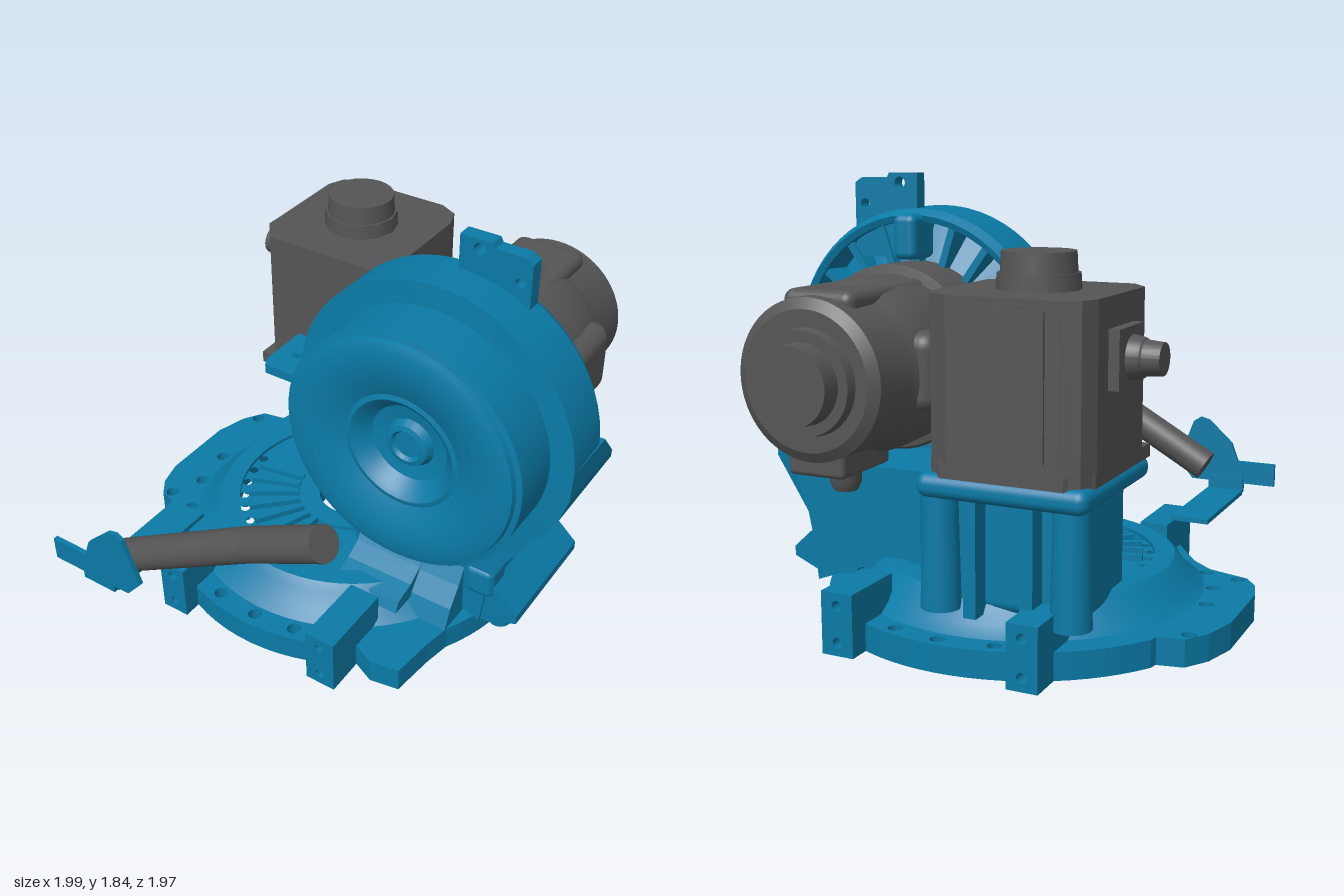
import * as THREE from 'three';
import { toCreasedNormals } from 'three/addons/utils/BufferGeometryUtils.js';
import { RoundedBoxGeometry } from 'three/addons/geometries/RoundedBoxGeometry.js';

const blue = new THREE.MeshStandardMaterial({ color: 0x0a7aa6 });
const grey = new THREE.MeshStandardMaterial({ color: 0x555555 });
const CX = -0.12, CZ = -0.1; // base centre
const GX = 0.4, GY = 1.115; // gear axis

export function createModel() {
  const model = new THREE.Group();

  const add = (name, geo, mat, x = 0, y = 0, z = 0) => {
    const mesh = new THREE.Mesh(geo, mat);
    mesh.name = name;
    mesh.position.set(x, y, z);
    model.add(mesh);
    return mesh;
  };
  // box from its extents on each axis
  const box = (name, mat, [x0, x1], [y0, y1], [z0, z1], r = 0) => {
    const s = [x1 - x0, y1 - y0, z1 - z0];
    const geo = r ? new RoundedBoxGeometry(...s, 4, r) : new THREE.BoxGeometry(...s);
    return add(name, geo, mat, (x0 + x1) / 2, (y0 + y1) / 2, (z0 + z1) / 2);
  };
  // surface of revolution, creased, about x, y or z
  const turned = (name, mat, pts, axis, x, y, z) => {
    const lathe = new THREE.LatheGeometry(pts.map((p) => new THREE.Vector2(...p)), 64);
    if (axis === 'z') lathe.rotateX(Math.PI / 2);
    if (axis === 'x') lathe.rotateZ(-Math.PI / 2);
    return add(name, toCreasedNormals(lathe, 0.5), mat, x, y, z);
  };
  const shapeOf = (pts, holes = []) => {
    const shape = new THREE.Shape(pts.map((p) => new THREE.Vector2(...p)));
    for (const [x, y, r] of holes) {
      const hole = new THREE.Path();
      hole.absarc(x, y, r, 0, Math.PI * 2, true);
      shape.holes.push(hole);
    }
    return shape;
  };
  const extrude = (shape, depth) => new THREE.ExtrudeGeometry(shape, { depth, bevelEnabled: false, curveSegments: 20 });
  // outline in the front plane (x, y), extruded from z0 to z1
  const frontPlate = (name, mat, pts, z0, z1, holes) =>
    add(name, extrude(shapeOf(pts, holes), z1 - z0), mat, 0, 0, z0);
  // outline in the side plane (z, y), extruded from x0 to x1
  const sidePlate = (name, mat, pts, x0, x1) =>
    add(name, extrude(shapeOf(pts), x1 - x0).rotateY(-Math.PI / 2), mat, x1);
  // outline in the ground plane (x, z), extruded from y0 to y1
  const floorPlate = (name, mat, pts, y0, y1, holes = []) => {
    const shape = shapeOf(pts.map(([x, z]) => [x, -z]), holes.map(([x, z, r]) => [x, -z, r]));
    return add(name, extrude(shape, y1 - y0).rotateX(-Math.PI / 2), mat, 0, y0, 0);
  };
  const arc = (r, a0, a1, n) => Array.from({ length: n + 1 }, (_, i) => {
    const a = a0 + (a1 - a0) * i / n;
    return [CX + r * Math.cos(a), CZ + r * Math.sin(a)];
  });

  // ---- Base: bolted rim with a side lobe, raised hollow deck ----
  const rim = [[-0.8, -0.5], [-0.9, -0.48], [-0.96, -0.39], [-1, -0.25], [-1, 0.08], [-0.97, 0.19], [-0.92, 0.26],
    [-0.75, 0.31], [-0.66, 0.39], [-0.61, 0.46], ...arc(0.8, 2.1, 0.97, 14),
    [0.42, 0.6], [0.54, 0.58], [0.56, 0.4], ...arc(0.8, 0.5, -2.57, 40)];
  const rimHoles = [[-0.9, -0.43], [-0.86, -0.1], [-0.83, 0.09], [-0.89, 0.23], [-0.75, 0.26],
    [-0.3, 0.62], [-0.11, 0.64], [0.07, 0.62], [-0.32, -0.82], [-0.11, -0.85], [0.08, -0.82]].map((p) => [...p, 0.028]);
  floorPlate('baseRim', blue, rim, 0.13, 0.235, [[CX, CZ, 0.63], ...rimHoles]);
  turned('baseShoulder', blue, [[0.6, 0.13], [0.66, 0.13], [0.7, 0.235], [0.65, 0.27], [0.61, 0.33], [0.58, 0.36], [0.5, 0.36],
    [0.5, 0.29], [0.57, 0.27], [0.6, 0.13]], 'y', CX, 0, CZ);
  const deckHoles = arc(0.48, 1.63, 3.1, 8).map((p) => [...p, 0.02]);
  floorPlate('baseDeck', blue, arc(0.56, 0, Math.PI * 2, 48).slice(1), 0.29, 0.345, [[CX, CZ, 0.15], ...deckHoles]);
  turned('centreCollar', blue, [[0.15, 0.25], [0.24, 0.27], [0.24, 0.36], [0.15, 0.36], [0.15, 0.25]], 'y', CX, 0, CZ);
  turned('undersideStep', blue, [[0.38, 0.24], [0.42, 0.24], [0.42, 0.3], [0.38, 0.3], [0.38, 0.24]], 'y', CX, 0, CZ);
  for (let i = 0; i < 7; i++) {
    const a = 1.72 + i * 0.21;
    const rib = add('deckRib', new THREE.BoxGeometry(0.22, 0.03, 0.025), blue, CX + 0.35 * Math.cos(a), 0.355, CZ + 0.35 * Math.sin(a));
    rib.rotation.y = -a;
  }
  for (let i = 0; i < 28; i++) {
    const a = i / 28 * Math.PI * 2;
    const rib = add('undersideRib', new THREE.BoxGeometry(0.05, 0.1, 0.03), blue, CX + 0.58 * Math.cos(a), 0.22, CZ + 0.58 * Math.sin(a));
    rib.rotation.y = -a;
  }

  // clamp lugs on the front and back of the rim
  for (const [x0, x1] of [[-0.53, -0.41], [0.2, 0.33]]) {
    const m = (x0 + x1) / 2;
    const outline = [[x0, 0.13], [x1, 0.13], [x1, 0.37], [x0, 0.37]];
    const holes = [[m, 0.18, 0.02], [m, 0.32, 0.02]];
    frontPlate('frontLug', blue, outline, 0.4, 0.72, holes);
    frontPlate('backLug', blue, outline, -0.92, -0.64, holes);
  }
  // locating pin
  turned('pin', blue, [[0, 0], [0.05, 0], [0.05, 0.1], [0.06, 0.13], [0.06, 0.3]], 'y', 0.635, 0, -0.095);

  // ---- Column: solid foot and a side wall whose back edge slopes ----
  const column = frontPlate('column', blue, [[0.12, 0.31], [0.45, 0.3], [0.66, 0.22], [0.68, 0.4], [0.7, 0.5], [0.84, 0.72], [0.95, 0.89],
    [0.985, 1.0], [0.99, 1.12], [0.92, 1.12], [0.88, 0.9], [0.78, 0.72], [0.06, 0.72], [0.06, 0.4], [0.08, 0.35]], -0.45, 0.16);
  const pos = column.geometry.attributes.position;
  for (let i = 0; i < pos.count; i++) {
    const y = pos.getY(i);
    if (pos.getZ(i) < 0.1 && y > 0.72) pos.setZ(i, (y - 0.72) / 0.4 * 0.35);
  }
  column.geometry.computeVertexNormals();
  frontPlate('columnFront', blue, [[0.06, 0.6], [0.74, 0.56], [0.95, 0.89], [0.98, 1.0], [0.5, 1.1], [0.0, 0.72]], -0.1, 0.155);
  sidePlate('columnToe', blue, [[0, 0.3], [0.38, 0.3], [0.36, 0.345], [0.27, 0.37], [0.2, 0.41], [0.16, 0.47], [0, 0.47]], 0.1, 0.4);
  sidePlate('columnToe', blue, [[0, 0.225], [0.3, 0.225], [0.26, 0.32], [0.2, 0.4], [0.16, 0.47], [0, 0.47]], 0.4, 0.58);
  frontPlate('columnEar', blue, [[0.52, 0.225], [0.69, 0.225], [0.82, 0.28], [0.82, 0.32], [0.7, 0.43], [0.69, 0.5], [0.52, 0.5]], -0.38, 0.15);
  box('columnBoss', blue, [0.58, 0.71], [0.36, 0.5], [0.04, 0.17], 0.03);

  // ---- Gear housing: ribbed dish behind, shallow bulged face in front ----
  turned('gearHousing', blue, [[0, -0.04], [0.35, -0.04], [0.53, 0.06], [0.535, -0.09], [0.56, -0.1], [0.585, -0.06], [0.59, 0.16],
    [0.497, 0.165], [0.497, 0.375], [0.475, 0.38], [0.47, 0.4], [0.44, 0.41], [0.37, 0.408], [0.3, 0.395], [0.24, 0.37],
    [0.22, 0.375], [0.2, 0.36], [0.16, 0.31], [0.1, 0.3], [0.085, 0.33], [0.065, 0.335], [0.055, 0.32], [0, 0.32]], 'z', GX, GY, 0);
  for (let i = 0; i < 20; i++) {
    const a = i / 20 * Math.PI * 2;
    const rib = add('housingRib', new THREE.BoxGeometry(0.22, 0.03, 0.13), blue, GX + 0.43 * Math.cos(a), GY + 0.43 * Math.sin(a), -0.01);
    rib.rotation.z = a;
  }
  frontPlate('liftingTab', blue, [[0.4, 1.5], [0.69, 1.5], [0.69, 1.8], [0.66, 1.82], [0.54, 1.82], [0.53, 1.84], [0.4, 1.84]],
    -0.06, 0, [[0.48, 1.8, 0.024], [0.645, 1.715, 0.02]]);
  box('housingBoss', blue, [0.35, 0.45], [1.5, 1.68], [-0.18, 0], 0.03);
  floorPlate('sideLug', blue, [[-0.39, -0.1], [-0.1, -0.1], [-0.1, 0.16], [-0.37, 0.16], [-0.39, 0.12]], 1.05, 1.09, [[-0.3, 0.03, 0.025]]);
  frontPlate('sideLugWeb', blue, [[-0.37, 1.05], [-0.3, 0.99], [-0.17, 0.99], [-0.1, 1.09], [-0.14, 1.2], [-0.19, 1.09]], -0.1, -0.01);

  // ---- Motor behind the housing: flanged, blunt-ended, with side pads ----
  turned('motorBody', grey, [[0, -0.87], [0.26, -0.87], [0.3, -0.845], [0.305, -0.65], [0.315, -0.62], [0.33, -0.58], [0.34, -0.45],
    [0.335, -0.28], [0.36, -0.275], [0.37, -0.26], [0.37, -0.04]], 'z', 0.405, 1.12, 0);
  turned('motorEnd', grey, [[0, -0.985], [0.145, -0.985], [0.15, -0.91], [0.19, -0.91], [0.2, -0.85]], 'z', 0.39, 1.12, 0);
  for (const [x0, x1] of [[0.035, 0.2], [0.61, 0.775]]) box('motorSidePad', grey, [x0, x1], [0.98, 1.28], [-0.61, -0.2], 0.06);
  box('motorTopPad', grey, [0.25, 0.55], [1.2, 1.44], [-0.8, -0.2], 0.04);
  box('motorDrainBlock', grey, [0.28, 0.52], [0.76, 0.9], [-0.83, -0.5], 0.02);
  turned('motorDrain', grey, [[0, 0.67], [0.045, 0.67], [0.06, 0.7], [0.06, 0.8]], 'y', 0.4, 0, -0.63);

  // ---- Pedestal and gearbox ----
  box('pedestal', blue, [-0.6, 0.06], [0.3, 0.76], [-0.7, -0.28], 0.05);
  for (const x of [-0.57, -0.06]) add('pedestalPost', new THREE.CylinderGeometry(0.065, 0.075, 0.46, 20), blue, x, 0.54, -0.73);
  for (const x of [-0.42, -0.2]) box('pedestalRib', blue, [x - 0.025, x + 0.025], [0.3, 0.74], [-0.78, -0.6]);
  box('pedestalLink', blue, [-0.02, 0.12], [0.34, 0.72], [-0.45, -0.3]);
  box('pedestalFlange', blue, [-0.655, 0.0], [0.73, 0.82], [-0.82, -0.18], 0.04);
  const gearboxOutline = [[-0.55, -0.81], [-0.13, -0.81], [-0.05, -0.77], [-0.02, -0.69], [-0.02, -0.27], [-0.08, -0.18],
    [-0.58, -0.18], [-0.65, -0.27], [-0.65, -0.71], [-0.62, -0.78]];
  floorPlate('gearboxFoot', grey, [[-0.57, -0.81], [-0.1, -0.81], [-0.02, -0.72], [-0.02, -0.18], [-0.65, -0.18], [-0.65, -0.72]], 0.81, 0.86);
  floorPlate('gearbox', grey, gearboxOutline, 0.82, 1.45);
  box('gearboxRearPanel', grey, [-0.5, -0.14], [0.9, 1.41], [-0.82, -0.79]);
  box('gearboxSidePlate', grey, [-0.69, -0.64], [1.13, 1.34], [-0.62, -0.38]);
  turned('gearboxPlug', grey, [[0, -0.805], [0.058, -0.805], [0.064, -0.74], [0.07, -0.735], [0.075, -0.72], [0.085, -0.66]], 'x', 0, 1.23, -0.49);
  add('gearboxCapBase', new THREE.CylinderGeometry(0.15, 0.155, 0.08, 12), grey, -0.335, 1.47, -0.49);
  add('gearboxCap', new THREE.CylinderGeometry(0.135, 0.14, 0.09, 24), grey, -0.335, 1.54, -0.49);

  // ---- Crank handle and its bracket ----
  const path = new THREE.CurvePath();
  const p = [[-0.545, 0.525, 0.88], [0.08, 0.885, 0.872], [0.44, 1.1, 0.915]].map((v) => new THREE.Vector3(...v));
  path.add(new THREE.LineCurve3(p[0], p[1]));
  path.add(new THREE.LineCurve3(p[1], p[2]));
  add('handle', new THREE.TubeGeometry(path, 40, 0.067, 24), grey);
  for (const end of [p[0], p[2]]) {
    const cap = add('handleEnd', new THREE.CircleGeometry(0.067, 24), grey, end.x, end.y, end.z);
    cap.lookAt(end.clone().multiplyScalar(2).sub(p[1]));
  }
  box('bracketArm', blue, [-0.7, -0.54], [0.39, 0.41], [0.42, 0.95]);
  box('bracketBend', blue, [-0.7, -0.54], [0.4, 0.47], [0.95, 0.975]);
  frontPlate('bracketPlate', blue, [[-0.84, 0.44], [-0.46, 0.44], [-0.39, 0.52], [-0.46, 0.71], [-0.49, 0.73], [-0.53, 0.72],
    [-0.64, 0.62], [-0.67, 0.54], [-0.84, 0.54]], 0.96, 0.98);

  return model;
}
